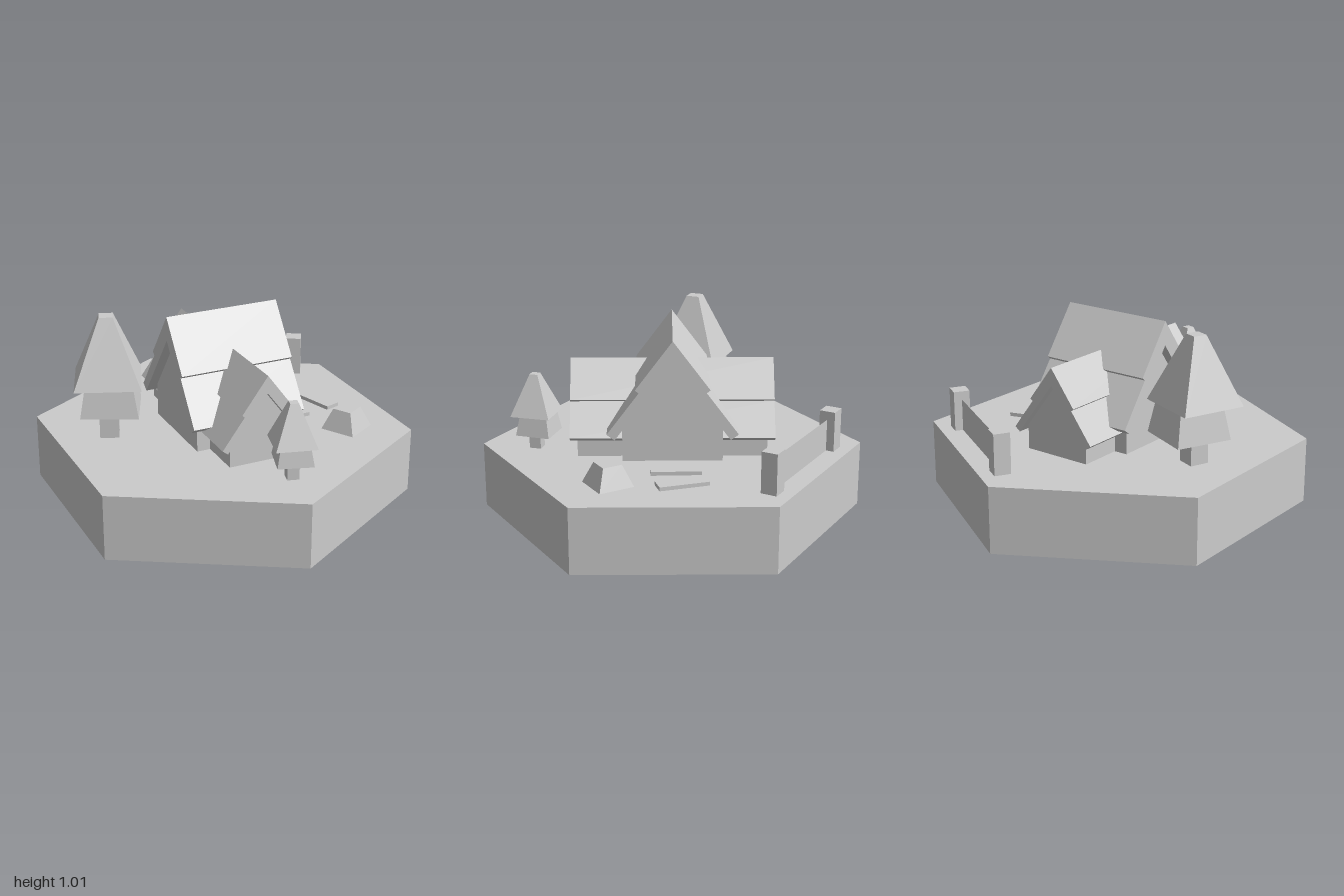
import * as THREE from 'three';

const GROUND = 0.35;
const grey = new THREE.MeshStandardMaterial({ color: 0xcccccc, flatShading: true });
const thin = new THREE.MeshStandardMaterial({ color: 0xcccccc, flatShading: true, side: THREE.DoubleSide });

function add(parent, name, geometry, x = 0, y = 0, z = 0, turn = 0, material = grey) {
  const mesh = new THREE.Mesh(geometry, material);
  mesh.name = name;
  mesh.position.set(x, y, z);
  mesh.rotation.y = turn;
  parent.add(mesh);
  return mesh;
}

// Four-sided tapered block standing on y = 0
function frustum(top, bottom, height) {
  return new THREE.CylinderGeometry(top, bottom, height, 4).translate(0, height / 2, 0);
}

// Mirrors a half outline (apex to eave) and extrudes it, centred on z
function gablePrism(half, scale, halfLength) {
  const right = half.map(([x, y]) => new THREE.Vector2(x * scale, y * scale));
  const left = right.filter((p) => p.x > 0).map((p) => new THREE.Vector2(-p.x, p.y)).reverse();
  const shape = new THREE.Shape([...right, ...left]);
  return new THREE.ExtrudeGeometry(shape, { depth: halfLength * 2, bevelEnabled: false })
    .translate(0, 0, -halfLength);
}

// House wing: pointed wall block under a stepped two-layer roof
function makeWing(name, scale, wallHalf, roofHalf) {
  const wing = new THREE.Group();
  wing.name = name;
  const wall = [[0, 0.52], [0.257, 0.178], [0.257, 0]].reverse();
  add(wing, 'walls', gablePrism(wall, scale, wallHalf));

  // Right half of the roof goes down outside, left half mirrors it
  const outer = [[0, 0.65], [0.19, 0.395], [0.171, 0.38], [0.335, 0.16], [0.295, 0.13]];
  const inner = [0, 0.522];
  const points = [...outer, inner, ...outer.slice(1).reverse().map(([x, y]) => [-x, y])]
    .map(([x, y]) => new THREE.Vector2(x * scale, y * scale));
  const roof = new THREE.ExtrudeGeometry(new THREE.Shape(points), { depth: roofHalf * 2, bevelEnabled: false });
  add(wing, 'roof', roof.translate(0, 0, -roofHalf));
  wing.position.y = GROUND;
  return wing;
}

// Two-tier tree with a square trunk
function makeTree(name, x, z, scale, turn) {
  const tree = new THREE.Group();
  tree.name = name;
  add(tree, 'trunk', frustum(0.071, 0.071, 0.2));
  add(tree, 'lowerFoliage', frustum(0.17, 0.212, 0.175), 0.025, 0.14, -0.01, -0.05);
  add(tree, 'upperFoliage', frustum(0.05, 0.242, 0.35), 0, 0.31, 0);
  tree.position.set(x, GROUND, z);
  tree.scale.setScalar(scale);
  tree.rotation.y = turn;
  return tree;
}

export function createModel() {
  const model = new THREE.Group();
  model.name = 'houseOnTile';

  // Hexagonal ground tile
  add(model, 'groundTile', new THREE.CylinderGeometry(1, 1, GROUND, 6), 0, GROUND / 2, 0);

  // House with two crossing wings
  const house = new THREE.Group();
  house.name = 'house';
  const mainWing = makeWing('mainWing', 1, 0.26, 0.31);
  mainWing.rotation.y = Math.PI / 2;
  house.add(mainWing, makeWing('crossWing', 0.73, 0.49, 0.527));
  model.add(house);

  // Trees
  model.add(makeTree('largeTree', -0.586, -0.13, 1, 0.41));
  model.add(makeTree('smallTree', 0.043, 0.712, 0.61, 0.52));

  // Fence along the back right edge
  const fence = new THREE.Group();
  fence.name = 'fence';
  for (const side of [-1, 1]) {
    add(fence, 'fencePost', new THREE.BoxGeometry(0.085, 0.215, 0.085), side * 0.346, 0.1075, 0);
  }
  add(fence, 'fencePanel', new THREE.PlaneGeometry(0.61, 0.17), 0, 0.085, 0, 0, thin);
  fence.position.set(0.381, GROUND, -0.652);
  fence.rotation.y = -Math.PI / 6;
  model.add(fence);

  // Stone stump and two flat slabs in the yard
  add(model, 'stump', frustum(0.073, 0.134, 0.11), 0.575, GROUND, 0.32, -0.27);
  const slab = new THREE.BoxGeometry(0.083, 0.02, 0.258);
  add(model, 'slab', slab, 0.422, GROUND + 0.01, -0.015, 0.03);
  add(model, 'slab', slab, 0.593, GROUND + 0.01, -0.045, 0.29);

  return model;
}
